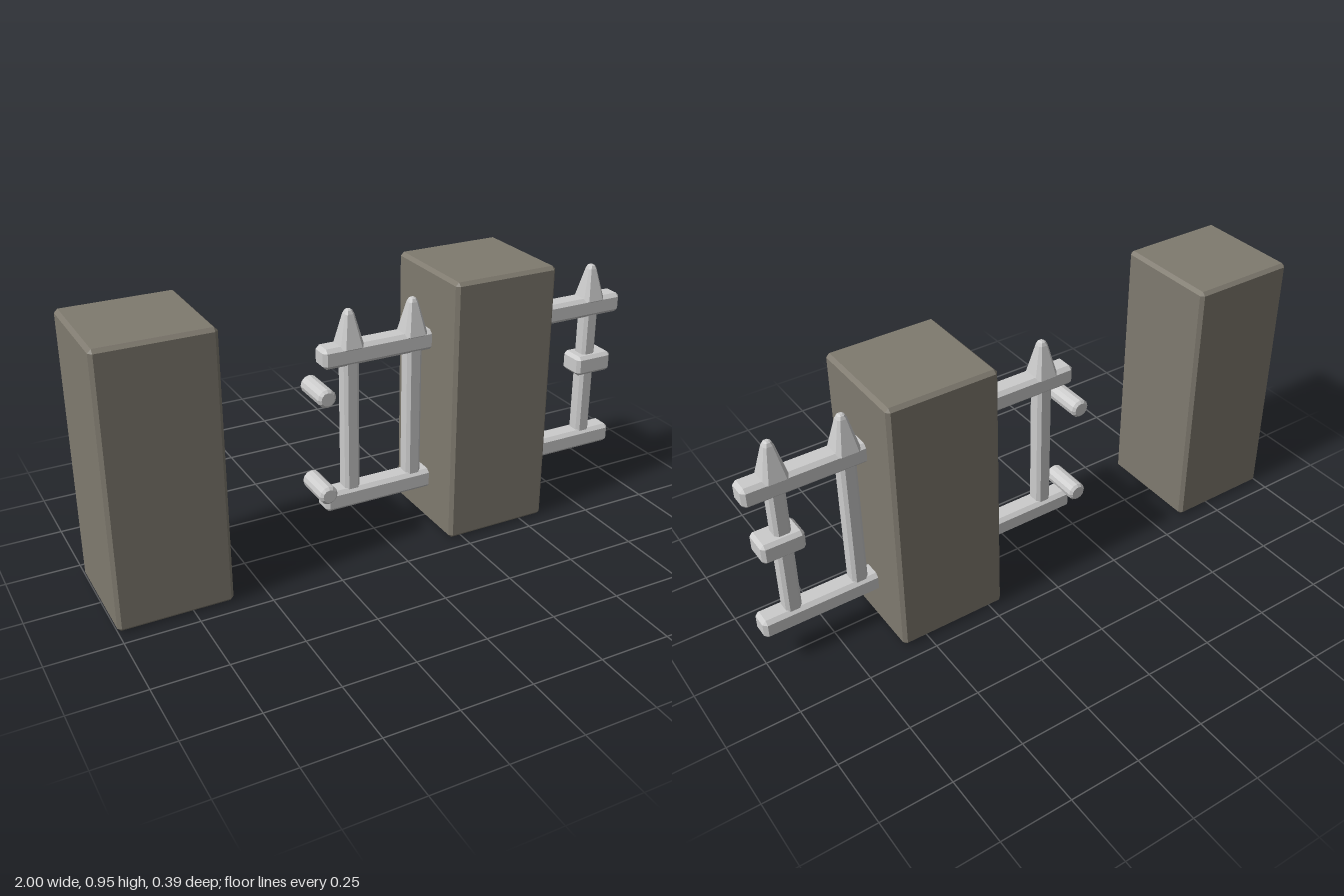
import * as THREE from 'three';
import { ConvexGeometry } from 'three/addons/geometries/ConvexGeometry.js';

const SIGNS = [-1, 1];

// Box with chamfered edges and corners
function bevelBox(w, h, d, b) {
  const [x, y, z] = [w / 2, h / 2, d / 2];
  const pts = [];
  for (const i of SIGNS) for (const j of SIGNS) for (const k of SIGNS) {
    pts.push(
      new THREE.Vector3(i * x, j * (y - b), k * (z - b)),
      new THREE.Vector3(i * (x - b), j * y, k * (z - b)),
      new THREE.Vector3(i * (x - b), j * (y - b), k * z));
  }
  return new ConvexGeometry(pts);
}

// Tapered square spike with chamfered corners; each level is [y, half width, chamfer]
function spike(levels) {
  const pts = [];
  for (const [y, r, c] of levels) for (const i of SIGNS) for (const k of SIGNS) {
    pts.push(new THREE.Vector3(i * r, y, k * (r - c)), new THREE.Vector3(i * (r - c), y, k * r));
  }
  return new ConvexGeometry(pts);
}

export function createModel() {
  const model = new THREE.Group();
  model.name = 'gateWithPillars';
  const stone = new THREE.MeshStandardMaterial({ color: 0x7f7a6f, flatShading: true });
  const metal = new THREE.MeshStandardMaterial({ color: 0xcccccc, flatShading: true });

  const add = (parent, name, geometry, material, x, y, z = 0) => {
    const mesh = new THREE.Mesh(geometry, material);
    mesh.name = name;
    mesh.position.set(x, y, z);
    parent.add(mesh);
    return mesh;
  };

  // Stone pillars
  const pillar = bevelBox(0.388, 0.95, 0.388, 0.012);
  add(model, 'rightPillar', pillar, stone, -0.806, 0.475);
  add(model, 'leftPillar', pillar, stone, 0.395, 0.475);

  const gate = new THREE.Group();
  gate.name = 'gate';
  model.add(gate);

  // Horizontal rails
  const rail = bevelBox(1.203, 0.072, 0.078, 0.013);
  add(gate, 'bottomRail', rail, metal, 0.3985, 0.17);
  add(gate, 'topRail', rail, metal, 0.3985, 0.702);

  // Upright bars with spikes on top
  const bar = bevelBox(0.056, 0.52, 0.06, 0.011);
  const tip = spike([
    [0, 0.038, 0.012], [0.005, 0.044, 0.014], [0.012, 0.042, 0.014],
    [0.118, 0.017, 0.007], [0.129, 0.012, 0.006], [0.133, 0.006, 0.003],
  ]);
  for (const x of [-0.095, 0.145, 0.645, 0.885]) {
    add(gate, 'bar', bar, metal, x, 0.436);
    add(gate, 'spike', tip, metal, x, 0.722);
  }

  // Latch block
  add(gate, 'latch', bevelBox(0.148, 0.074, 0.1, 0.012), metal, 0.897, 0.479);

  // Hinge pins: rounded rods lying front to back
  const profile = [[0, -0.077], [0.024, -0.077], [0.033, -0.068], [0.033, 0.068], [0.024, 0.077], [0, 0.077]]
    .map(([r, y]) => new THREE.Vector2(r, y));
  const pin = new THREE.LatheGeometry(profile, 12).rotateX(Math.PI / 2);
  for (const y of [0.22, 0.581]) add(gate, 'hingePin', pin, metal, -0.207, y, -0.004);

  return model;
}
